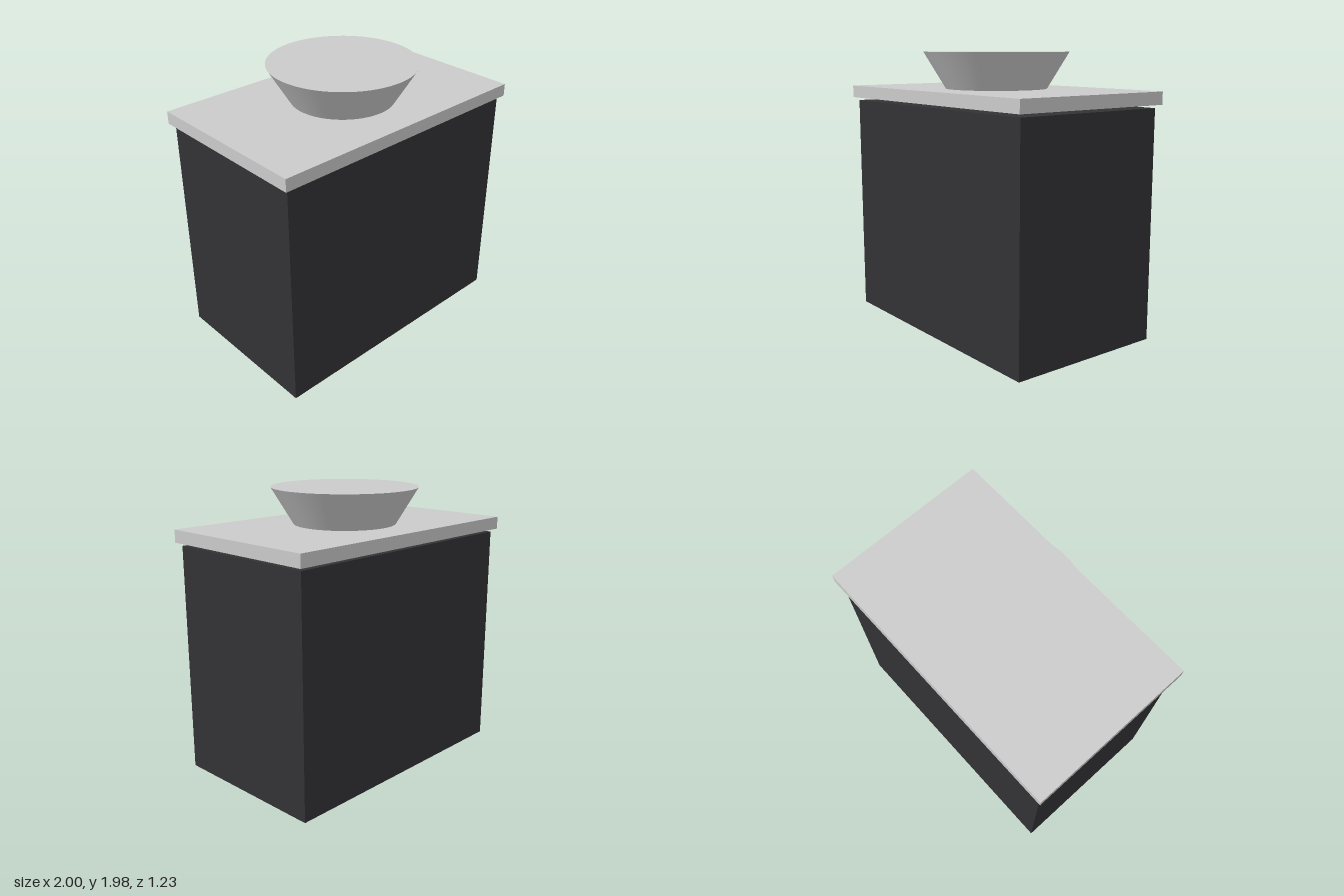
import * as THREE from 'three';

export function createModel() {
  const model = new THREE.Group();
  model.name = 'washbasinCabinet';
  const grey = new THREE.MeshStandardMaterial({ color: 0xcccccc });
  const dark = new THREE.MeshStandardMaterial({ color: 0x333336 });

  // Adds a part whose underside sits at height y
  const add = (name, geometry, material, y, height) => {
    const mesh = new THREE.Mesh(geometry, material);
    mesh.name = name;
    mesh.position.y = y + height / 2;
    model.add(mesh);
  };

  // Dark cabinet body
  add('cabinet', new THREE.BoxGeometry(1.934, 1.615, 1.16), dark, 0, 1.615);

  // Overhanging worktop, held just clear of the cabinet by a shadow gap
  add('countertop', new THREE.BoxGeometry(2, 0.088, 1.225), grey, 1.637, 0.088);

  // Flared round basin, closed on top
  add('basin', new THREE.CylinderGeometry(0.515, 0.36, 0.257, 64), grey, 1.725, 0.257);

  return model;
}
